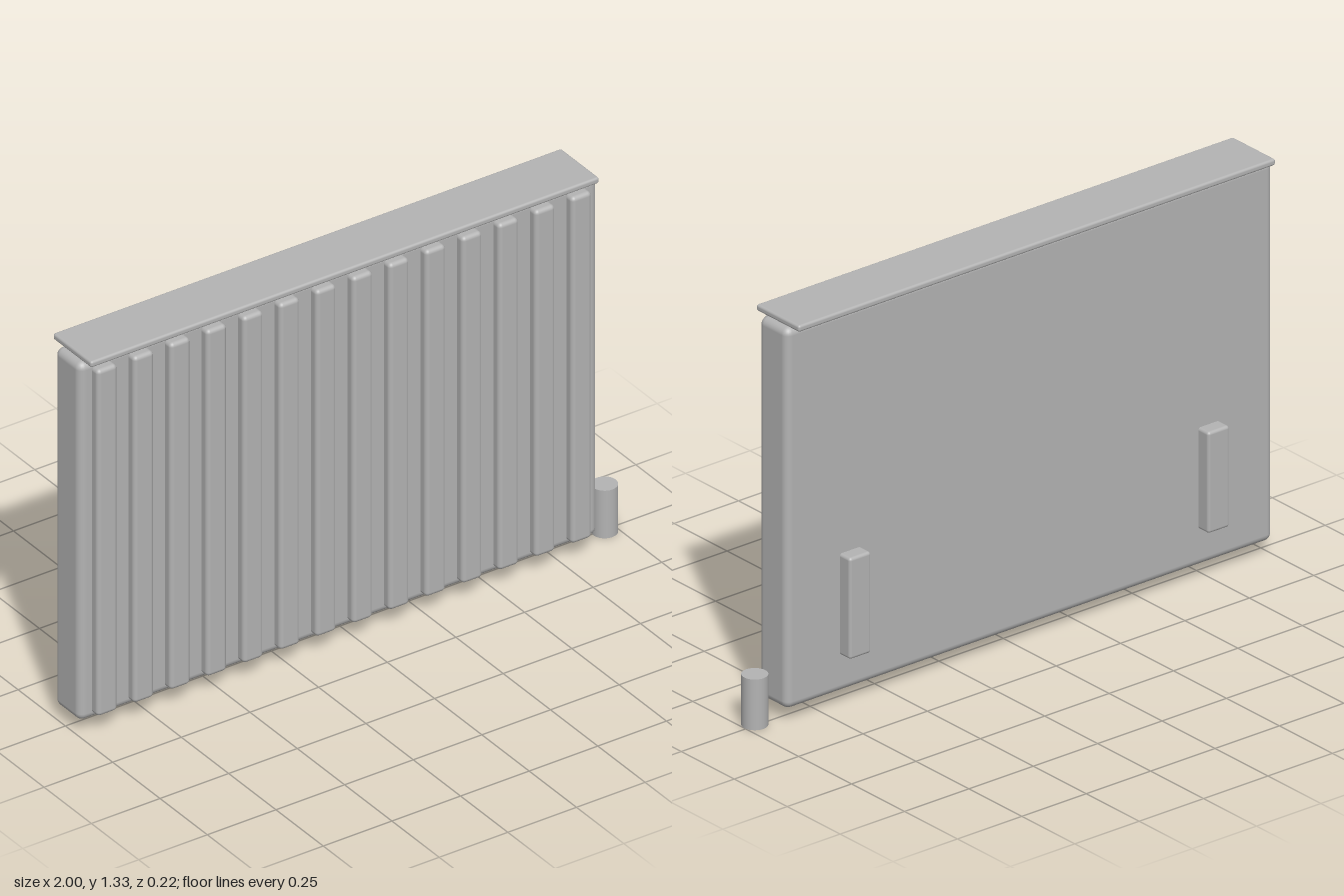
import * as THREE from 'three';
import { RoundedBoxGeometry } from 'three/addons/geometries/RoundedBoxGeometry.js';

export function createModel() {
  const group = new THREE.Group();
  group.name = 'radiator';
  const greyMetal = new THREE.MeshStandardMaterial({ color: 0xb3b3b3 });
  greyMetal.name = 'grey metal';

  // Rounded box given by its minimum and maximum corners
  function box(name, [x0, y0, z0], [x1, y1, z1], radius) {
    const geometry = new RoundedBoxGeometry(x1 - x0, y1 - y0, z1 - z0, 3, radius);
    const mesh = new THREE.Mesh(geometry, greyMetal);
    mesh.name = name;
    mesh.position.set((x0 + x1) / 2, (y0 + y1) / 2, (z0 + z1) / 2);
    group.add(mesh);
  }

  // Main panel and the flat cover on top
  box('panel', [-1, 0.047, -0.06], [0.89, 1.31, 0.075], 0.025);
  box('topCover', [-0.98, 1.31, -0.096], [0.872, 1.332, 0.107], 0.008);

  // Vertical flutes along the front
  const fluteCount = 14;
  for (let i = 0; i < fluteCount; i++) {
    const x = -0.918 + i * 0.1329;
    box('flute' + (i + 1), [x - 0.037, 0.067, 0.03], [x + 0.037, 1.29, 0.106], 0.014);
  }

  // Wall brackets on the back
  for (const [name, x] of [['rightBracket', -0.75], ['leftBracket', 0.642]]) {
    box(name, [x - 0.042, 0.172, -0.108], [x + 0.042, 0.508, -0.03], 0.01);
  }

  // Valve beside the lower left corner
  const valve = new THREE.Mesh(new THREE.CylinderGeometry(0.041, 0.041, 0.168, 32), greyMetal);
  valve.name = 'valve';
  valve.position.set(0.959, 0.084, 0.007);
  group.add(valve);

  return group;
}
